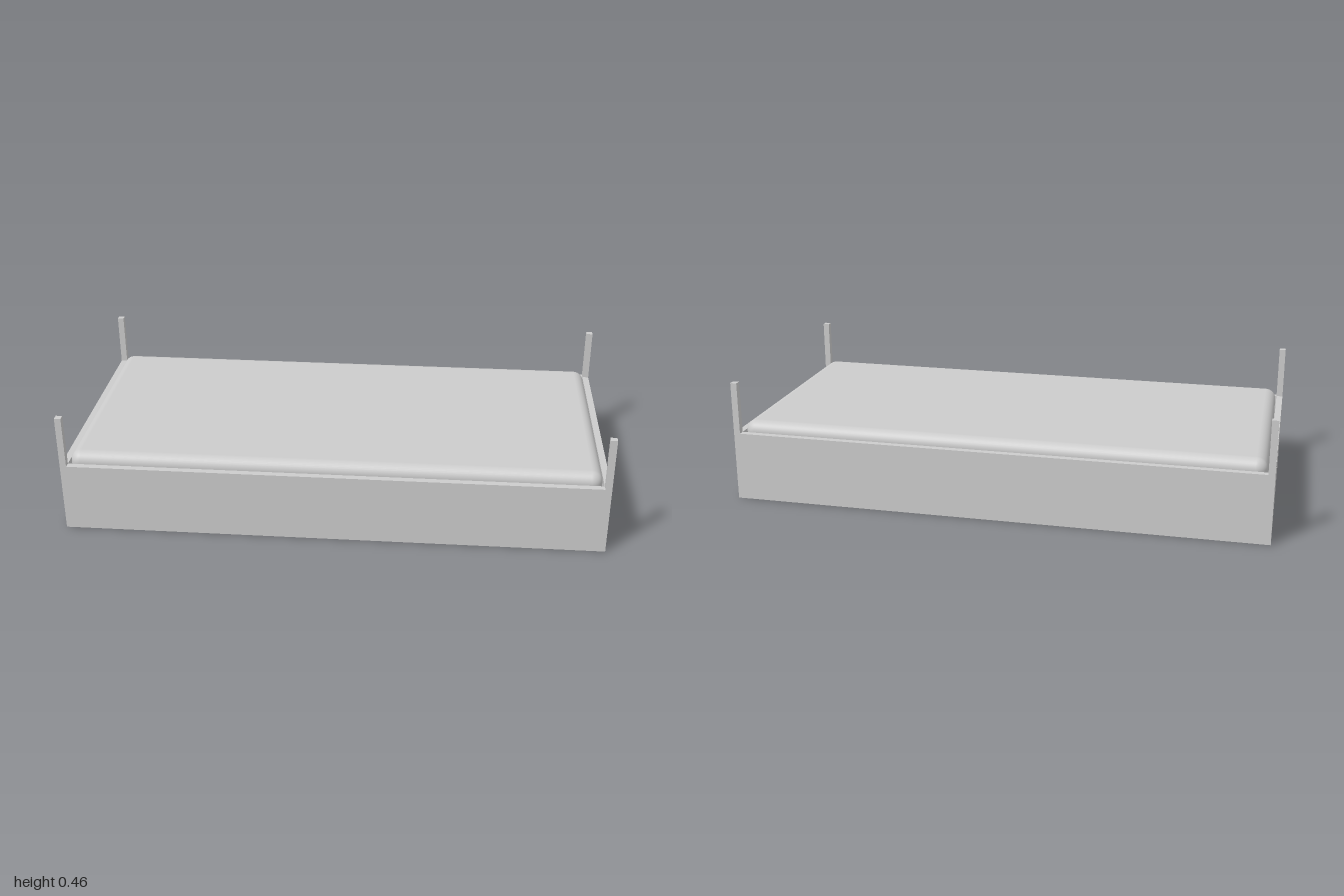
import * as THREE from 'three';
import { RoundedBoxGeometry } from 'three/addons/geometries/RoundedBoxGeometry.js';

const W = 2, D = 0.958, RIM = 0.26, POST_TOP = 0.457, T = 0.024;

export function createModel() {
  const group = new THREE.Group();
  const material = new THREE.MeshStandardMaterial({ color: 0xcccccc });

  const add = (name, geometry, x, y, z) => {
    const mesh = new THREE.Mesh(geometry, material);
    mesh.name = name;
    mesh.position.set(x, y, z);
    group.add(mesh);
  };
  const box = (name, w, h, d, x, y, z) => add(name, new THREE.BoxGeometry(w, h, d), x, y + h / 2, z);

  // Base panel closing the underside
  box('basePanel', W - 2 * T, 0.03, D - 2 * T, 0, 0, 0);

  // Side walls: one rectangular ring extruded upwards
  const rect = (Type, w, d) => new Type([
    new THREE.Vector2(-w / 2, -d / 2), new THREE.Vector2(w / 2, -d / 2),
    new THREE.Vector2(w / 2, d / 2), new THREE.Vector2(-w / 2, d / 2),
  ]);
  const ring = rect(THREE.Shape, W, D);
  ring.holes.push(rect(THREE.Path, W - 2 * T, D - 2 * T));
  const walls = new THREE.ExtrudeGeometry(ring, { depth: RIM, bevelEnabled: false });
  walls.rotateX(-Math.PI / 2);
  add('frameWalls', walls, 0, 0, 0);

  // Corner posts
  for (const sx of [-1, 1]) for (const sz of [-1, 1]) {
    box('cornerPost', T, POST_TOP - RIM, T, sx * (W - T) / 2, RIM, sz * (D - T) / 2);
  }

  // Mattress with rounded edges, sunk inside the walls
  const top = 0.3, bottom = 0.03;
  add('mattress', new RoundedBoxGeometry(1.944, top - bottom, 0.904, 4, 0.04), 0, (top + bottom) / 2, 0);

  return group;
}
